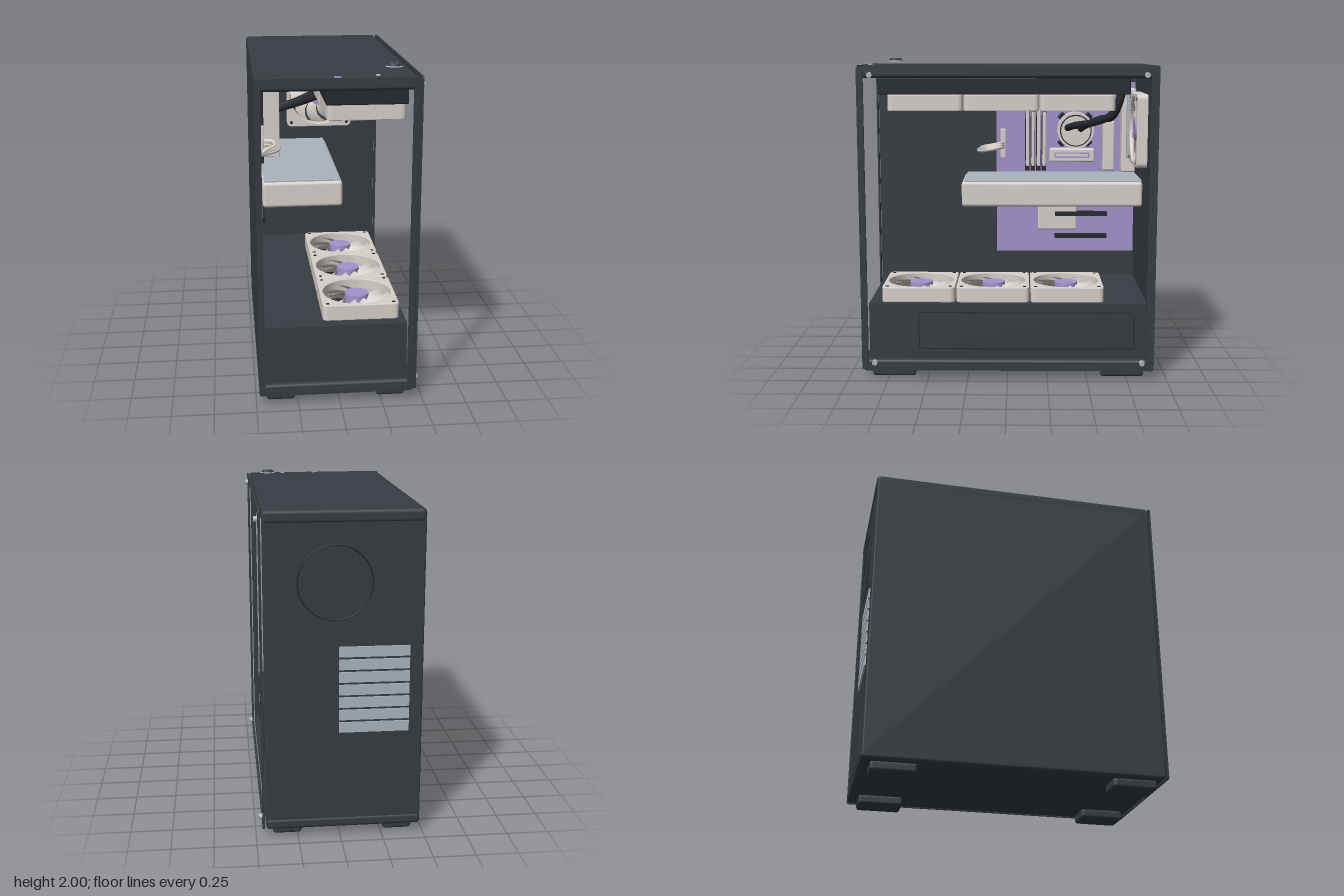
import * as THREE from 'three';
import { RoundedBoxGeometry } from 'three/addons/geometries/RoundedBoxGeometry.js';

const mat = (name, color, side = THREE.FrontSide) => {
  const m = new THREE.MeshStandardMaterial({ color, side });
  m.name = name;
  return m;
};

export function createModel() {
  const root = new THREE.Group();
  root.name = 'computerTower';
  const shell = mat('caseCharcoal', 0x363c42);
  const black = mat('nearBlack', 0x24282d);
  const light = mat('warmWhite', 0xd6d0ca, THREE.DoubleSide);
  const purple = mat('lavender', 0xa292ca);
  const silver = mat('silver', 0xaab4bd);

  const add = (name, geo, m, parent = root) => {
    const mesh = new THREE.Mesh(geo, m);
    mesh.name = name;
    parent.add(mesh);
    return mesh;
  };
  // Box given by its limits, with optional rounded edges
  const box = (name, m, x0, x1, y0, y1, z0, z1, r = 0) => {
    const s = [x1 - x0, y1 - y0, z1 - z0];
    const g = r ? new RoundedBoxGeometry(...s, 3, r) : new THREE.BoxGeometry(...s);
    g.translate((x0 + x1) / 2, (y0 + y1) / 2, (z0 + z1) / 2);
    return add(name, g, m);
  };
  const roundRect = (w, h, r, P = THREE.Shape) => {
    const s = new P(), a = w / 2, b = h / 2;
    s.moveTo(-a + r, -b);
    s.lineTo(a - r, -b); s.quadraticCurveTo(a, -b, a, -b + r);
    s.lineTo(a, b - r); s.quadraticCurveTo(a, b, a - r, b);
    s.lineTo(-a + r, b); s.quadraticCurveTo(-a, b, -a, b - r);
    s.lineTo(-a, -b + r); s.quadraticCurveTo(-a, -b, -a + r, -b);
    return s;
  };
  const frameGeo = (w, h, border, depth, r = 0.015) => {
    const s = roundRect(w, h, r);
    s.holes.push(roundRect(w - 2 * border, h - 2 * border, r * 0.6, THREE.Path));
    return new THREE.ExtrudeGeometry(s, { depth, bevelEnabled: false, curveSegments: 4 });
  };
  const tube = (name, m, r, pts) => add(name, new THREE.TubeGeometry(
    new THREE.CatmullRomCurve3(pts.map(p => new THREE.Vector3(...p))), 32, r, 10), m);

  // Case shell
  box('topPanel', shell, -0.48, 0.44, 1.88, 1.957, -0.92, 0.9, 0.022);
  box('basePanel', shell, -0.48, 0.44, 0.055, 0.12, -0.92, 0.9, 0.02);
  box('closedSidePanel', shell, -0.48, -0.445, 0.07, 1.94, -0.915, 0.9, 0.01);
  box('backPanel', shell, -0.475, 0.44, 0.07, 1.94, -0.915, -0.875, 0.01);
  box('powerSupplyShroud', shell, -0.45, 0.405, 0.1, 0.475, -0.88, 0.87);
  box('rearCornerPost', shell, 0.405, 0.44, 0.1, 1.9, -0.9, -0.87);

  // Window frames
  const side = add('sideWindowFrame', frameGeo(1.82, 1.9, 0.03, 0.014), shell);
  side.rotation.y = Math.PI / 2;
  side.position.set(0.448, 1.007, -0.008);
  const front = add('frontWindowFrame', frameGeo(0.92, 1.9, 0.035, 0.01), shell);
  front.position.set(-0.02, 1.007, 0.906);
  for (const y of [0.11, 1.9]) for (const z of [-0.842, 0.832]) {
    const s = add('windowScrew', new THREE.CylinderGeometry(0.016, 0.018, 0.022, 16), silver);
    s.rotation.z = -Math.PI / 2;
    s.position.set(0.471, y, z);
  }

  // Shroud inset outline
  const inset = add('shroudInset', frameGeo(1.36, 0.24, 0.006, 0.004, 0.03), black);
  inset.rotation.y = Math.PI / 2;
  inset.position.set(0.404, 0.3, -0.12);

  // Feet
  for (const x of [-0.35, 0.312]) for (const z of [-0.725, 0.72])
    box('foot', shell, x - 0.086, x + 0.086, 0, 0.06, z - 0.137, z + 0.137, 0.018);

  // Fan: square frame, hub and swept blades, facing local +z
  const bladeGeo = (depth) => {
    const pos = [], idx = [], R = 8, C = 3;
    for (let i = 0; i <= R; i++) for (let j = 0; j <= C; j++) {
      const t = i / R, u = j / C - 0.5, r = 0.07 + t * 0.135;
      const a = 0.55 * t * t + u * (0.62 - 0.05 * t);
      pos.push(r * Math.cos(a), r * Math.sin(a), u * depth * 0.5 + 0.006 * Math.cos(u * 3));
    }
    for (let i = 0; i < R; i++) for (let j = 0; j < C; j++) {
      const a = i * (C + 1) + j, b = a + C + 1;
      idx.push(a, b, a + 1, b, b + 1, a + 1);
    }
    const g = new THREE.BufferGeometry();
    g.setAttribute('position', new THREE.Float32BufferAttribute(pos, 3));
    g.setIndex(idx);
    g.computeVertexNormals();
    return g;
  };
  const fan = (name, depth, x, y, z, rx) => {
    const g = new THREE.Group();
    g.name = name;
    const s = roundRect(0.452, 0.452, 0.03);
    s.holes.push(new THREE.Path().absarc(0, 0, 0.214, 0, Math.PI * 2, true));
    add('fanFrame', new THREE.ExtrudeGeometry(s, {
      depth: depth - 0.012, bevelSize: 0.005, bevelThickness: 0.006, bevelSegments: 2, curveSegments: 24,
    }).translate(0, 0, -depth / 2 + 0.006), light, g);
    add('fanHub', new THREE.CylinderGeometry(0.073, 0.076, depth * 0.8, 32).rotateX(Math.PI / 2), purple, g);
    const blade = bladeGeo(depth);
    for (let i = 0; i < 9; i++) add('fanBlade', blade, light, g).rotation.z = i * Math.PI * 2 / 9;
    for (const sx of [-1, 1]) for (const sy of [-1, 1])
      add('fanScrewHole', new THREE.CylinderGeometry(0.011, 0.011, 0.004, 12).rotateX(Math.PI / 2), black, g)
        .position.set(sx * 0.2, sy * 0.2, depth / 2);
    for (let i = 0; i < 4; i++) {
      const strut = add('fanStrut', new THREE.BoxGeometry(0.3, 0.012, 0.008).translate(0.07, 0, 0), black, g);
      strut.scale.x = 0.95;
      strut.rotation.z = Math.PI / 4 + i * Math.PI / 2;
      strut.position.z = -depth / 2 + 0.008;
    }
    g.position.set(x, y, z);
    g.rotation.x = rx;
    root.add(g);
  };
  for (let i = 0; i < 3; i++) {
    fan('topFan', 0.1, 0.168, 1.73, 0.505 - i * 0.467, Math.PI / 2);
    fan('bottomFan', 0.098, 0.14, 0.522, 0.563 - i * 0.47, -Math.PI / 2);
  }
  fan('rearFan', 0.07, 0.032, 1.545, -0.842, 0);

  // Radiator
  box('radiator', black, -0.072, 0.4, 1.78, 1.885, -0.75, 0.79, 0.008);

  // Motherboard and its parts
  box('motherboard', purple, -0.447, -0.435, 0.65, 1.83, -0.87, 0.085);
  box('portCover', light, -0.435, -0.32, 1.22, 1.79, -0.865, -0.77, 0.012);
  box('portCoverTrim', silver, -0.322, -0.28, 1.32, 1.77, -0.865, -0.8, 0.01);
  box('sideHeatsink', light, -0.435, -0.345, 1.228, 1.567, -0.725, -0.645, 0.012);
  box('lowerHeatsink', light, -0.435, -0.37, 1.285, 1.378, -0.59, -0.28, 0.012);
  const slot = add('heatsinkTrim', frameGeo(0.24, 0.036, 0.008, 0.004, 0.006), purple);
  slot.rotation.y = Math.PI / 2;
  slot.position.set(-0.371, 1.332, -0.435);
  box('chipsetCover', light, -0.436, -0.405, 0.803, 1.0, -0.475, -0.203, 0.014);
  for (const y of [0.762, 0.92])
    box('expansionSlot', black, -0.436, -0.385, y - 0.014, y + 0.014, -0.683, -0.322);
  for (let i = 0; i < 4; i++) {
    const z = -0.128 - i * 0.038;
    box('memorySlot', black, -0.436, -0.395, 1.222, 1.75, z - 0.015, z + 0.015);
    box('memoryStick', light, -0.42, -0.29, 1.265, 1.71, z - 0.011, z + 0.011, 0.004);
  }
  box('powerConnector', light, -0.436, -0.4, 1.31, 1.51, 0.022, 0.058, 0.005);
  for (let i = 0; i < 3; i++) {
    const d = i * 0.012;
    tube('powerCable', light, 0.013, [[-0.41, 1.41 - d, 0.04], [-0.35 + d, 1.412 - d, 0.06],
      [-0.335 + d, 1.4 - d, 0.13], [-0.39, 1.385 - d, 0.18], [-0.436, 1.36, 0.21]]);
  }

  // Cooler pump and hoses
  const disc = (name, m, r, x0, x1) => add(name,
    new THREE.CylinderGeometry(r, r, x1 - x0, 40).rotateZ(Math.PI / 2).translate((x0 + x1) / 2, 1.505, -0.457), m);
  for (const a of [0, 1]) {
    const arm = add('pumpBracket', new RoundedBoxGeometry(0.02, 0.3, 0.05, 2, 0.009), black);
    arm.position.set(-0.425, 1.505, -0.457);
    arm.rotation.x = Math.PI / 4 + a * Math.PI / 2;
  }
  disc('pumpBody', light, 0.124, -0.435, -0.32);
  disc('pumpBand', black, 0.108, -0.32, -0.314);
  disc('pumpCap', light, 0.1, -0.32, -0.3);
  for (const d of [0, 1]) tube('coolantHose', black, 0.024, [
    [-0.31, 1.525 - d * 0.005, -0.4 - d * 0.09], [-0.18, 1.55, -0.44 - d * 0.07],
    [0.0, 1.585 + d * 0.02, -0.56 - d * 0.04], [0.13 + d * 0.05, 1.635, -0.65 - d * 0.01],
    [0.17 + d * 0.05, 1.7, -0.69], [0.18 + d * 0.05, 1.79, -0.715]]);

  // Graphics card
  box('graphicsCard', light, -0.42, 0.08, 1.04, 1.203, -0.872, 0.302, 0.02);
  box('graphicsBackplate', silver, -0.41, 0.065, 1.198, 1.215, -0.868, 0.285, 0.005);
  for (let i = 0; i < 3; i++) {
    const z = 0.09 - i * 0.375;
    const ring = add('graphicsFanRing', new THREE.TorusGeometry(0.165, 0.008, 8, 48), purple);
    ring.rotation.x = Math.PI / 2;
    ring.position.set(-0.17, 1.039, z);
    add('graphicsFanHub', new THREE.CylinderGeometry(0.05, 0.05, 0.008, 32), purple).position.set(-0.17, 1.037, z);
  }

  // Back panel details
  for (let i = 0; i < 7; i++) {
    const y = 0.655 + i * 0.076;
    box('slotCover', silver, -0.4, 0.01, y, y + 0.062, -0.924, -0.91);
  }
  const vent = add('rearVentRing', new THREE.TorusGeometry(0.215, 0.004, 6, 48), black);
  vent.position.set(0.032, 1.545, -0.915);
  box('rearPortPlate', shell, -0.41, -0.235, 1.22, 1.79, -0.918, -0.91);
  box('powerSupplyPlate', shell, -0.3, 0.28, 0.13, 0.42, -0.918, -0.91);

  // Power button with ring and symbol, and top ports
  const button = new THREE.Group();
  button.name = 'powerButton';
  button.position.set(0.328, 1.98, 0.686);
  root.add(button);
  add('buttonBase', new THREE.CylinderGeometry(0.03, 0.05, 0.014, 40).translate(0, 0.008, 0), silver, button);
  add('buttonFace', new THREE.CylinderGeometry(0.032, 0.045, 0.013, 40).translate(0, 0.0125, 0), shell, button);
  add('symbolArc', new THREE.TorusGeometry(0.017, 0.002, 6, 24, Math.PI * 1.6)
    .rotateZ(Math.PI * 0.7).rotateX(-Math.PI / 2).translate(0, 0.018, 0), silver, button);
  add('symbolBar', new THREE.BoxGeometry(0.004, 0.003, 0.018).translate(0, 0.0185, -0.012), silver, button);
  add('topIndicator', new THREE.CylinderGeometry(0.015, 0.015, 0.012, 20), silver).position.set(0.212, 1.958, 0.858);
  box('topPort', purple, -0.038, 0.0, 1.945, 1.963, 0.885, 0.903);
  return root;
}
